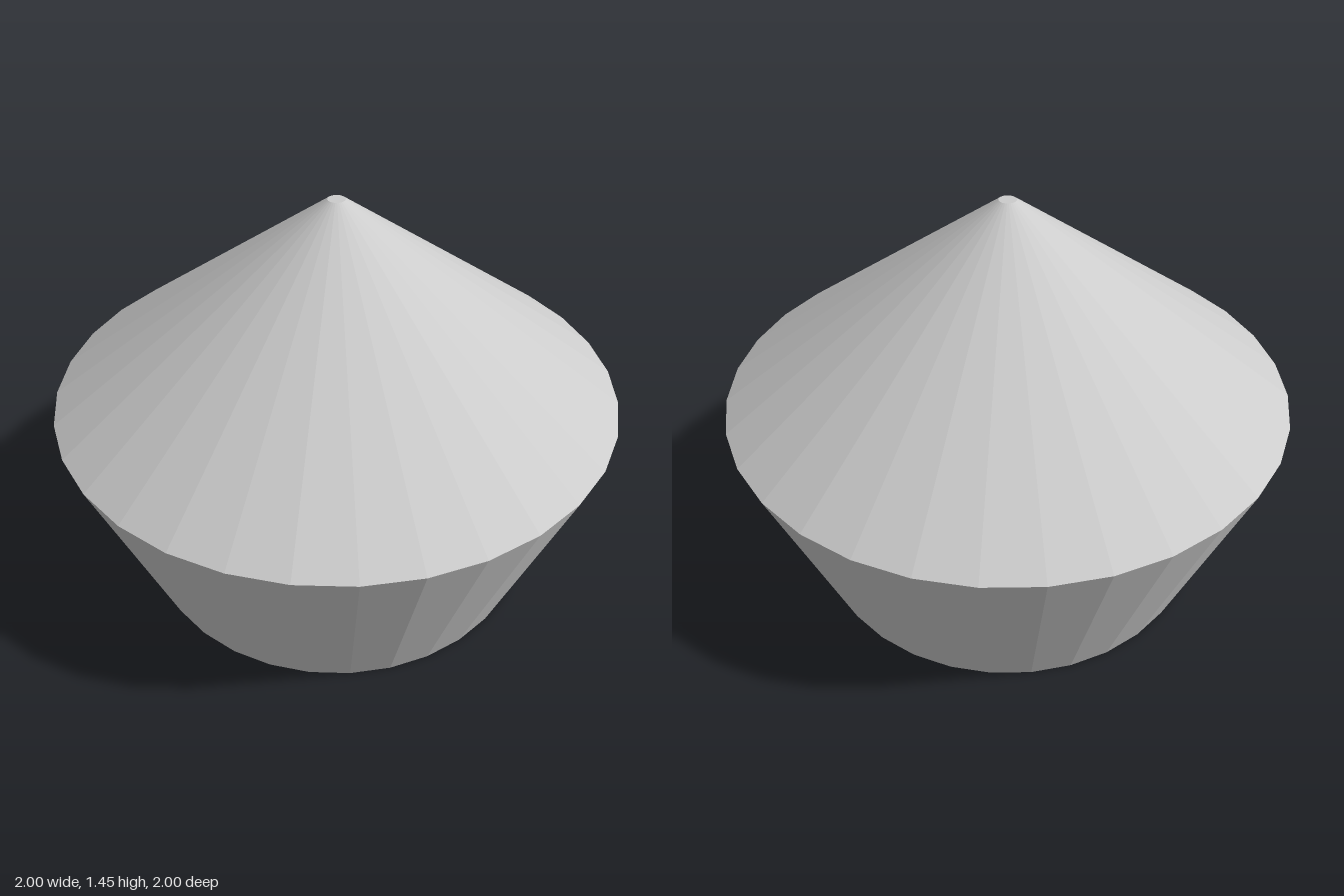
import * as THREE from 'three';

const SIDES = 32;

// Faceted solid of revolution from [radius, height] pairs
function turned(name, profile, material) {
  const points = profile.map(([r, y]) => new THREE.Vector2(r, y));
  const mesh = new THREE.Mesh(new THREE.LatheGeometry(points, SIDES), material);
  mesh.name = name;
  return mesh;
}

export function createModel() {
  const group = new THREE.Group();
  group.name = 'hollowCappedCone';
  const material = new THREE.MeshStandardMaterial({ color: 0xcccccc, flatShading: true });

  // Hollow inside: sloped ceiling, then the flared inner wall down to the opening
  group.add(turned('innerCavity', [[0, 1.32], [0.81, 0.725], [0.56, 0]], material));
  // Flat ring the model stands on
  group.add(turned('bottomRim', [[0.56, 0], [0.722, 0]], material));
  // Flared outer wall
  group.add(turned('outerWall', [[0.722, 0], [1, 0.725]], material));
  // Conical roof with a small flat tip
  group.add(turned('roof', [[1, 0.725], [0.03, 1.445], [0, 1.445]], material));

  return group;
}
